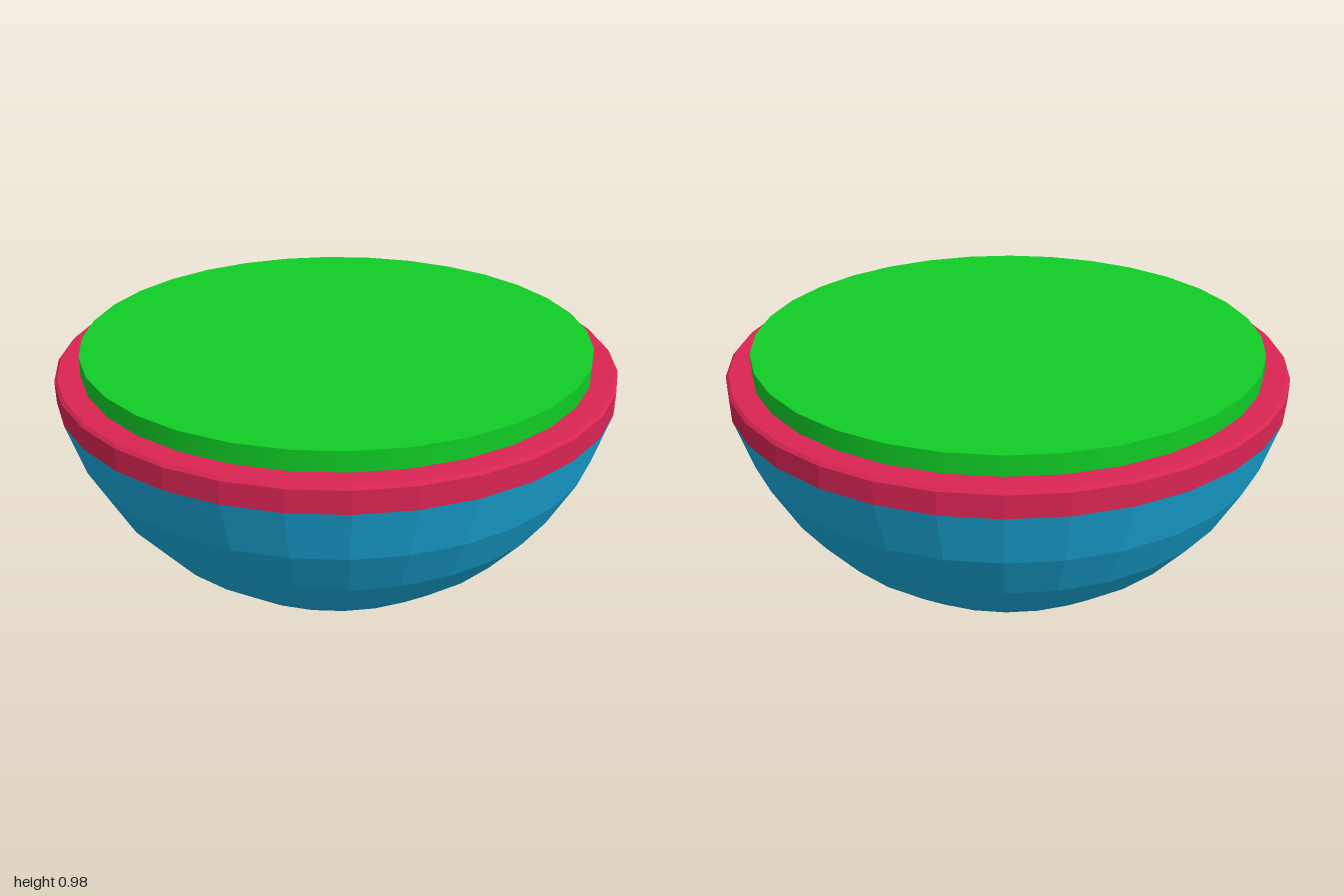
import * as THREE from 'three';

const SIDES = 32;
const STEP = Math.PI / 16; // latitude step of the bowl
const R = 1 / Math.cos(STEP); // sphere radius giving a rim of radius 1

const material = (color, flatShading = true) =>
  new THREE.MeshStandardMaterial({ color, flatShading, side: THREE.DoubleSide });

// Revolve a bottom-to-top profile into a faceted shell
function lathe(name, points, color) {
  const geometry = new THREE.LatheGeometry(points.map(([x, y]) => new THREE.Vector2(x, y)), SIDES);
  const mesh = new THREE.Mesh(geometry, material(color));
  mesh.name = name;
  return mesh;
}

// Latitude rings of the sphere, counted from the bottom pole
function sphereRings(first, last) {
  const points = [];
  for (let i = first; i <= last; i++) points.push([R * Math.sin(i * STEP), R * (1 - Math.cos(i * STEP))]);
  return points;
}

export function createModel() {
  const model = new THREE.Group();
  model.name = 'bowl';

  // Foot and wall share one sphere
  model.add(lathe('bowlBase', sphereRings(0, 3), 0x7c480a));
  model.add(lathe('bowlWall', sphereRings(3, 7), 0x1aaadb));

  // Rim band with a small bevel on its upper edge
  const rimBottom = R * (1 - Math.cos(7 * STEP));
  model.add(lathe('rim', [[1, rimBottom], [1, 0.9], [0.99, 0.91], [0.9, 0.91]], 0xd92553));

  // Flat disc filling the bowl
  const filling = new THREE.Mesh(new THREE.CylinderGeometry(0.91, 0.91, 0.08, SIDES), material(0x10cc26, false));
  filling.name = 'filling';
  filling.position.y = 0.94;
  model.add(filling);

  return model;
}
